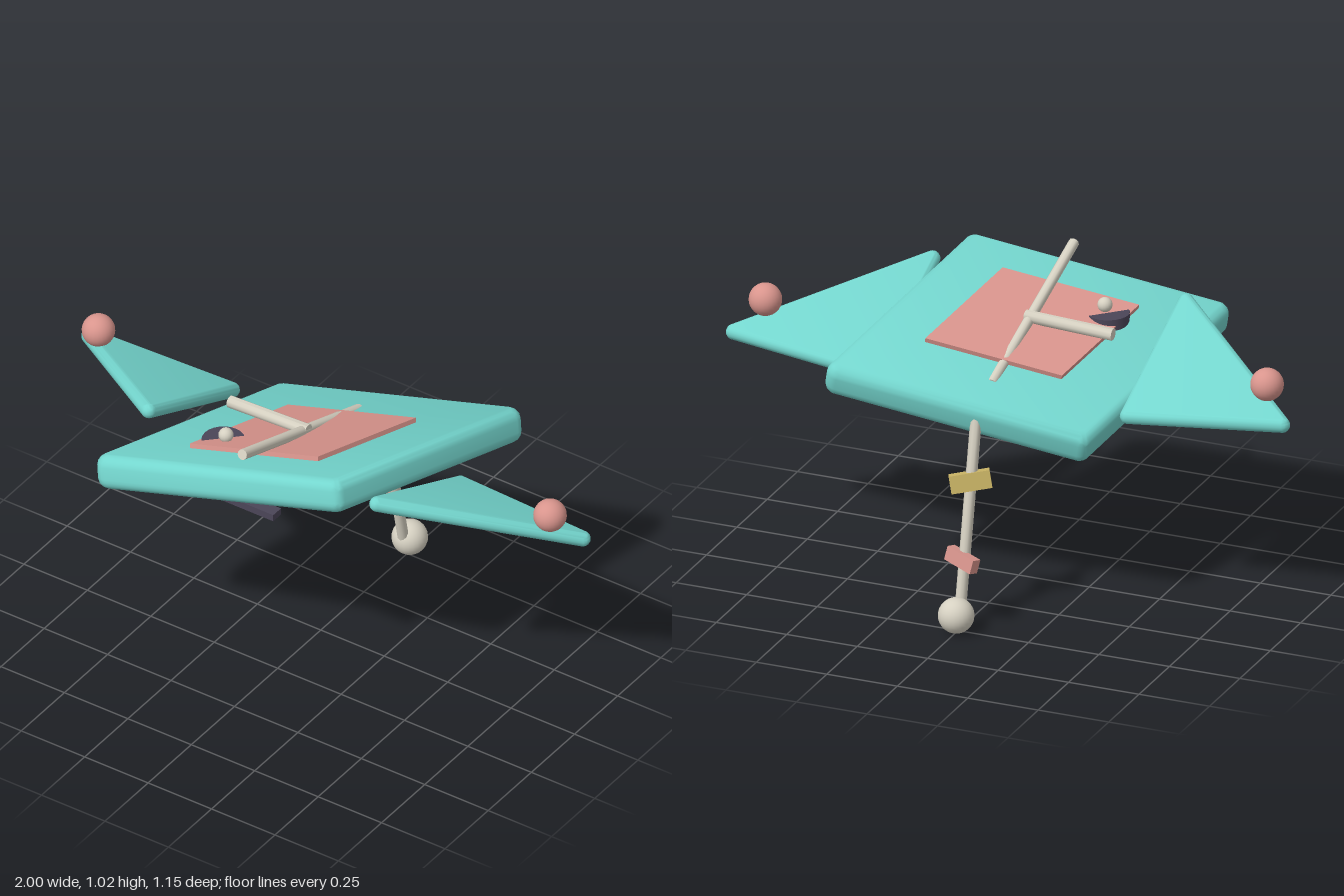
import * as THREE from 'three';
import { toCreasedNormals } from 'three/addons/utils/BufferGeometryUtils.js';
import { ConvexGeometry } from 'three/addons/geometries/ConvexGeometry.js';

const V = (x, y, z) => new THREE.Vector3(x, y, z);

function material(name, color) {
  const m = new THREE.MeshStandardMaterial({ color });
  m.name = name;
  return m;
}

// Plate with fully rounded edges: the hull of equal balls set at its corners
function roundedHull(corners, radius) {
  const p = new THREE.SphereGeometry(radius, 14, 10).attributes.position;
  const points = [];
  for (const c of corners) {
    for (let i = 0; i < p.count; i++) points.push(new THREE.Vector3().fromBufferAttribute(p, i).add(c));
  }
  return toCreasedNormals(new ConvexGeometry(points), 0.6);
}

export function createModel() {
  const model = new THREE.Group();
  const teal = material('teal', 0x74d6ce);
  const pink = material('pink', 0xd9958d);
  const cream = material('cream', 0xd6d1c2);
  const yellow = material('yellow', 0xcbb566);
  const dark = material('dark purple', 0x4b4558);

  function add(parent, name, geometry, mat, x = 0, y = 0, z = 0) {
    const mesh = new THREE.Mesh(geometry, mat);
    mesh.name = name;
    mesh.position.set(x, y, z);
    parent.add(mesh);
    return mesh;
  }

  function rod(name, a, b, radius) {
    const dir = b.clone().sub(a);
    const mid = a.clone().add(b).multiplyScalar(0.5);
    const geo = toCreasedNormals(new THREE.CylinderGeometry(radius, radius, dir.length(), 10), 0.8);
    const mesh = add(model, name, geo, cream, mid.x, mid.y, mid.z);
    mesh.quaternion.setFromUnitVectors(V(0, 1, 0), dir.normalize());
  }

  // Tilted diamond body: local x is the long diagonal, y uphill, z out of the top
  const body = new THREE.Group();
  body.name = 'body';
  const across = V(-1, 0, 1).normalize();
  const uphill = V(1, 0.474, 1).normalize();
  const normal = across.clone().cross(uphill);
  body.quaternion.setFromRotationMatrix(new THREE.Matrix4().makeBasis(across, uphill, normal));
  body.position.set(-0.003, 0.782, 0.062);
  model.add(body);

  const corners = [];
  for (const h of [-0.02, 0.02]) {
    for (const s of [-1, 1]) corners.push(V(0.662 * s, 0, h), V(0, 0.492 * s, h));
  }
  add(body, 'bodyPlate', roundedHull(corners, 0.04), teal);

  // Diamond panel on top of the body
  const diamond = new THREE.Shape([[0.375, 0], [0, 0.276], [-0.375, 0], [0, -0.276]]
    .map(([x, y]) => new THREE.Vector2(x, y)));
  add(body, 'topPanel', new THREE.ExtrudeGeometry(diamond, { depth: 0.02, bevelEnabled: false }),
    pink, 0.024, 0.04, 0.055);

  // Mirrored wings with a ball near each tip
  for (const s of [1, -1]) {
    const side = s > 0 ? 'left' : 'right';
    const wing = [V(0.45 * s, 0.915, 0.335), V(0.45 * s, 0.698, -0.147), V(0.973 * s, 0.732, -0.088)];
    add(model, side + 'Wing', roundedHull(wing, 0.026), teal);
    add(model, side + 'WingBall', new THREE.SphereGeometry(0.055, 24, 16), pink, 0.89 * s, 0.835, -0.02);
  }

  // Rods above the body
  rod('longTopRod', V(0, 1.0, 0.455), V(0, 0.765, -0.22), 0.018);
  rod('sideTopRod', V(-0.295, 0.866, 0.093), V(0.015, 0.88, 0.093), 0.021);

  // Tail with an end ball and two twisted bows
  rod('tailRod', V(0, 0.72, -0.345), V(0, 0.07, -0.48), 0.019);
  add(model, 'tailBall', new THREE.SphereGeometry(0.06, 24, 16), cream, 0, 0.06, -0.515);
  add(model, 'upperBow', new THREE.BoxGeometry(0.135, 0.06, 0.04), yellow, 0, 0.49, -0.398)
    .rotation.set(0.2, 0.42, -0.24);
  add(model, 'lowerBow', new THREE.BoxGeometry(0.12, 0.048, 0.035), pink, 0, 0.238, -0.465)
    .rotation.set(0.2, -0.35, 0.22);

  // Small ball and dark disc on top, dark strips underneath
  add(model, 'topBall', new THREE.SphereGeometry(0.025, 16, 12), cream, -0.19, 0.885, 0.27);
  add(model, 'topDisc', new THREE.CylinderGeometry(0.072, 0.072, 0.05, 24), dark, -0.2, 0.836, 0.27);
  add(model, 'longUnderStrip', new THREE.BoxGeometry(0.205, 0.025, 0.045), dark, 0.018, 0.79, 0.43);
  add(model, 'shortUnderStrip', new THREE.BoxGeometry(0.06, 0.025, 0.11), dark, 0.225, 0.818, 0.25)
    .rotation.set(-0.3, 0, 0.3);

  return model;
}
